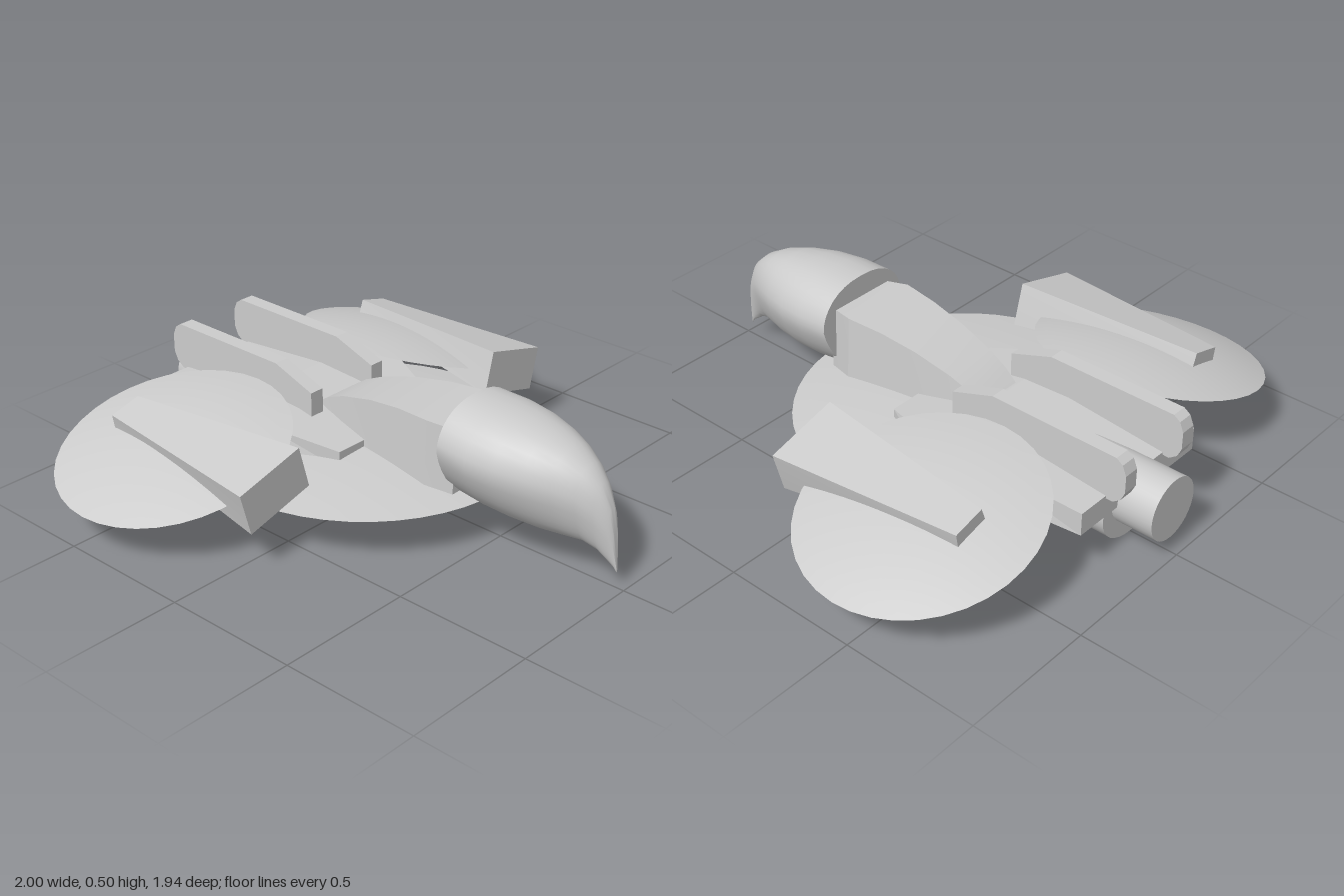
import * as THREE from 'three';
import { toCreasedNormals } from 'three/addons/utils/BufferGeometryUtils.js';

const V = (x, y, z) => new THREE.Vector3(x, y, z);

// Closed solid through rings listed back to front, each counter-clockwise seen from the front
function loft(rings, crease) {
  const pos = [];
  const tri = (...pts) => pts.forEach(p => pos.push(p.x, p.y, p.z));
  const n = rings[0].length;
  for (let i = 0; i < rings.length - 1; i++) {
    for (let j = 0; j < n; j++) {
      const k = (j + 1) % n;
      tri(rings[i][j], rings[i][k], rings[i + 1][k]);
      tri(rings[i][j], rings[i + 1][k], rings[i + 1][j]);
    }
  }
  const back = rings[0], front = rings[rings.length - 1];
  for (let j = 1; j < n - 1; j++) {
    tri(back[0], back[j + 1], back[j]);
    tri(front[0], front[j], front[j + 1]);
  }
  const geo = new THREE.BufferGeometry();
  geo.setAttribute('position', new THREE.Float32BufferAttribute(pos, 3));
  geo.computeVertexNormals();
  return toCreasedNormals(geo, crease);
}

// Trapezoid ring: z, half width at the top and bottom, top y, bottom y
const trapezoid = ([z, wt, wb, top, bottom]) =>
  [V(wb, bottom, z), V(wt, top, z), V(-wt, top, z), V(-wb, bottom, z)];

// Sharp-edged lens: radius, bulge above, bulge below
function lens(radius, up, down, sides) {
  const pts = [];
  for (let i = -10; i <= 10; i++) {
    const t = 1 - Math.abs(i) / 10;
    const r = radius * (1 - t);
    const rr = radius - r;
    pts.push(new THREE.Vector2(rr, (i < 0 ? -down : up) * (1 - (rr / radius) ** 2)));
  }
  return toCreasedNormals(new THREE.LatheGeometry(pts, sides), 0.12);
}

export function createModel() {
  const group = new THREE.Group();
  const mat = new THREE.MeshStandardMaterial({ color: 0xcccccc });
  const add = (name, geo, parent = group) => {
    const mesh = new THREE.Mesh(geo, mat);
    mesh.name = name;
    parent.add(mesh);
    return mesh;
  };

  // Main saucer hull
  add('mainHull', lens(0.6, 0.05, 0.065, 48)).position.set(0, 0.165, -0.11);

  // Beaked head: z, half width, top y, bottom y
  const head = [
    [0.38, 0.195, 0.495, 0.145], [0.5, 0.2, 0.492, 0.13], [0.6, 0.187, 0.483, 0.122],
    [0.7, 0.157, 0.465, 0.12], [0.78, 0.122, 0.44, 0.124], [0.85, 0.084, 0.402, 0.128],
    [0.9, 0.054, 0.355, 0.112], [0.94, 0.028, 0.28, 0.083], [0.957, 0.015, 0.2, 0.07],
    [0.969, 0.003, 0.08, 0.055],
  ].map(([z, w, top, bottom]) => {
    const ring = [];
    for (let j = 0; j < 32; j++) {
      const a = j / 32 * Math.PI * 2, s = Math.sin(a), c = Math.cos(a);
      const wide = Math.sign(c) * Math.abs(c) ** 0.85 * (s < 0 ? 1 + 0.22 * s : 1);
      const mid = bottom + (top - bottom) * 0.58;
      ring.push(V(w * wide, mid + s * (s > 0 ? top - mid : mid - bottom), z));
    }
    return ring;
  });
  add('head', loft(head, 0.7));

  // Tapered neck sloping back onto the deck
  add('neck', loft([
    [-0.27, 0.085, 0.1, 0.27, 0.18], [-0.2, 0.095, 0.11, 0.318, 0.18],
    [-0.12, 0.105, 0.12, 0.352, 0.18], [0.02, 0.12, 0.135, 0.39, 0.18],
    [0.16, 0.135, 0.15, 0.412, 0.17], [0.3, 0.15, 0.165, 0.42, 0.16],
    [0.4, 0.125, 0.135, 0.41, 0.16],
  ].map(trapezoid), 0.3));

  // Angular rear deck
  add('rearDeck', loft([
    [-0.835, 0.3, 0.3, 0.26, 0.175], [-0.45, 0.345, 0.36, 0.295, 0.19],
    [-0.26, 0.35, 0.37, 0.285, 0.19], [0, 0.25, 0.25, 0.235, 0.17],
  ].map(trapezoid), 0.1));

  // Belly nacelle with a rounded nose
  const belly = [new THREE.Vector2(0, -0.815), new THREE.Vector2(1, -0.815)];
  for (let i = 0; i <= 12; i++) {
    const a = i / 12 * Math.PI / 2;
    belly.push(new THREE.Vector2(Math.cos(a), -0.3 + 0.26 * Math.sin(a)));
  }
  const bellyGeo = new THREE.LatheGeometry(belly, 32).rotateX(Math.PI / 2).scale(0.157, 0.13, 1);
  add('bellyNacelle', toCreasedNormals(bellyGeo, 0.6)).position.y = 0.13;

  // Engine
  const engine = new THREE.CylinderGeometry(0.114, 0.114, 0.4, 32).rotateX(Math.PI / 2);
  add('engine', engine).position.set(0, 0.172, -0.77);

  // Fin outline in z and y
  const finShape = new THREE.Shape([
    [-0.2, 0.26], [-0.2, 0.362], [-0.37, 0.422], [-0.865, 0.422], [-0.89, 0.405],
    [-0.905, 0.37], [-0.905, 0.305], [-0.89, 0.272], [-0.86, 0.25],
  ].map(([z, y]) => new THREE.Vector2(z, y)));

  for (const side of [1, -1]) {
    const label = side > 0 ? 'left' : 'right';

    const fin = new THREE.ExtrudeGeometry(finShape, { depth: 0.056, bevelEnabled: false });
    fin.translate(0, 0, -0.028).rotateY(-Math.PI / 2);
    add(label + 'Fin', fin).position.x = side * 0.151;

    // Drooping wing disc carrying a tapered pod
    const wing = new THREE.Group();
    wing.name = label + 'Wing';
    wing.position.set(side * 0.6, 0.242, -0.44);
    wing.rotation.z = -side * 0.262;
    group.add(wing);
    add(label + 'WingDisc', lens(0.413, 0.055, 0.035, 36), wing);
    add(label + 'WingPod', loft([
      [-0.215, 0.06, 0.065, 0.088, 0.03], [0.495, 0.136, 0.136, 0.093, -0.067],
    ].map(trapezoid), 0.1), wing);
  }
  return group;
}
